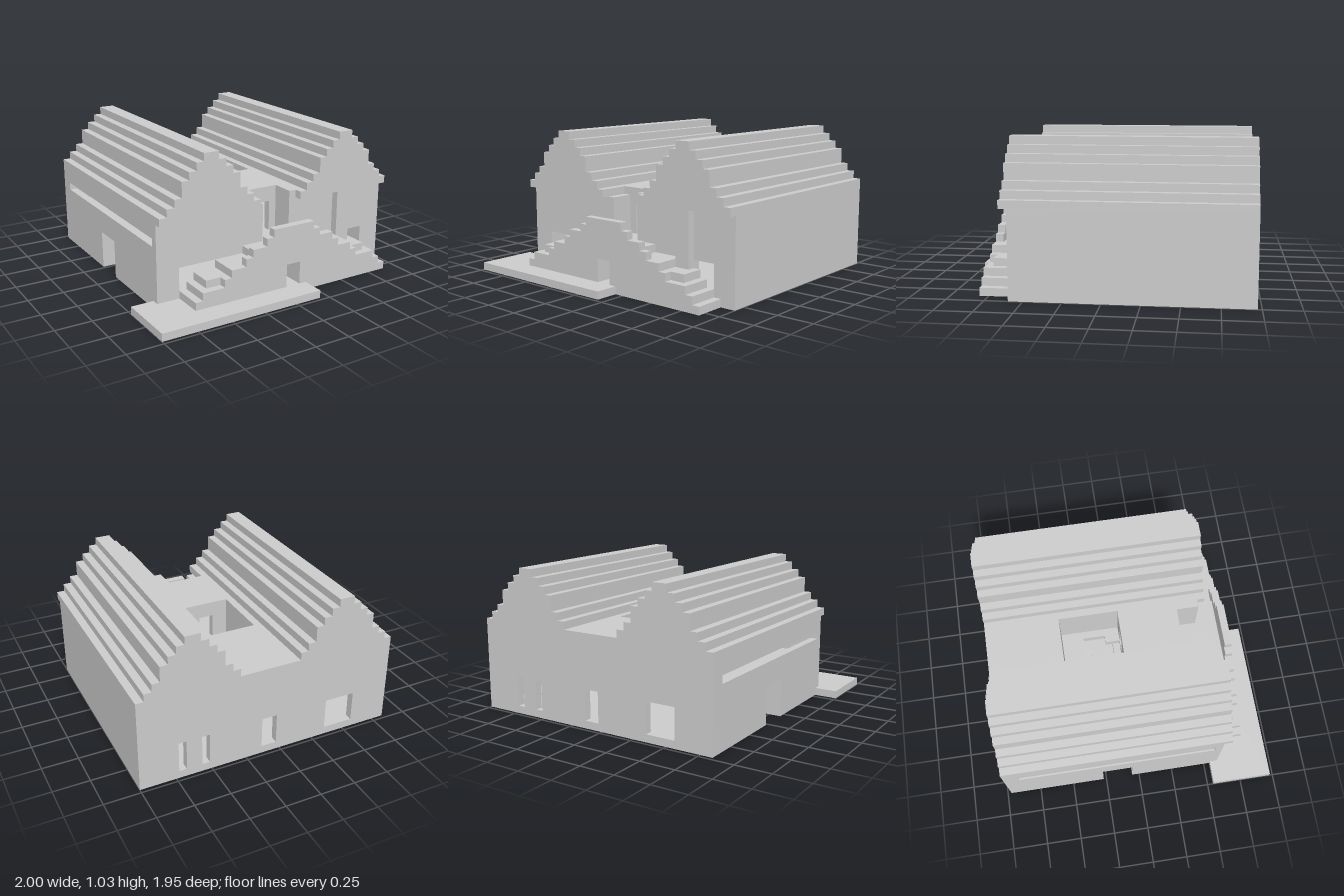
import * as THREE from 'three';

// Everything is laid out on a block grid: x 0..37, y 0..19, z 0..36
const U = 2 / 37;
const mat = new THREE.MeshStandardMaterial({ color: 0xcccccc, flatShading: true });

export function createModel() {
  const root = new THREE.Group();
  root.name = 'house';
  const grid = new THREE.Group();
  grid.name = 'blockGrid';
  grid.scale.setScalar(U);
  grid.position.set(-1, 0, -18 * U);
  root.add(grid);

  function add(name, geo) {
    const mesh = new THREE.Mesh(geo, mat);
    mesh.name = name;
    grid.add(mesh);
    return mesh;
  }
  function block(name, x0, x1, y0, y1, z0, z1) {
    const geo = new THREE.BoxGeometry(x1 - x0, y1 - y0, z1 - z0);
    geo.translate((x0 + x1) / 2, (y0 + y1) / 2, (z0 + z1) / 2);
    return add(name, geo);
  }
  const rect = (a0, a1, b0, b1) => [[a0, b0], [a1, b0], [a1, b1], [a0, b1]];
  const points = list => list.map(([a, b]) => new THREE.Vector2(a, b));
  // Upright panel facing z, with holes
  function panelGeo(outline, holes, depth) {
    const shape = new THREE.Shape(points(outline));
    for (const h of holes) shape.holes.push(new THREE.Path(points(h)));
    return new THREE.ExtrudeGeometry(shape, { depth, bevelEnabled: false });
  }
  function panel(name, outline, holes, z0, z1) {
    return add(name, panelGeo(outline, holes, z1 - z0).translate(0, 0, z0));
  }
  // Upright panel facing x, outline given as (z, y)
  function sidePanel(name, outline, holes, x0, x1) {
    return add(name, panelGeo(outline, holes, x1 - x0).rotateY(-Math.PI / 2).translate(x1, 0, 0));
  }
  // Stepped outline, from (half width, height) pairs listed bottom to top
  function steppedOutline(centre, base, steps) {
    const right = [];
    let y = base;
    for (const [half, top] of steps) {
      right.push([half, y], [half, top]);
      y = top;
    }
    return [
      ...right.map(([h, t]) => [centre + h, t]),
      ...right.reverse().map(([h, t]) => [centre - h, t]),
    ];
  }

  // Ground floor slab, notched at the side entrance
  block('groundFloor', 6, 37, 0, 1, 0, 29);
  block('groundFloorBack', 3, 6, 0, 1, 0, 13);
  block('groundFloorFront', 3, 6, 0, 1, 17, 29);

  // Outer walls
  panel('backWall', rect(3, 37, 0, 11.5), [
    rect(31, 32, 1, 5), rect(28, 29, 1, 5), rect(19, 21, 1, 5), rect(8, 12, 1, 5),
  ], 0, 1);
  panel('frontWallRight', rect(3, 18, 0, 11), [rect(6, 12, 1, 5)], 28, 29);
  panel('frontWallLeft', rect(22, 37, 0, 11), [rect(31, 34, 1, 5)], 28, 29);
  block('leftWall', 36, 37, 0, 11, 0, 29);
  sidePanel('rightWall',
    [[0, 0], [13, 0], [13, 5], [17, 5], [17, 0], [29, 0], [29, 11], [0, 11]],
    [rect(2, 28, 8, 9)], 3, 4);

  // Side entrance recess
  block('sideEntranceBack', 6, 7, 1, 5, 13, 17);
  for (const z of [12, 17]) block('sideEntranceCheek', 4, 7, 0, 5, z, z + 1);

  // Front porch recess and its doorway
  block('porchFloor', 18, 22, 0, 6, 26, 29);
  block('porchCheekRight', 17, 18, 0, 11, 25, 28);
  block('porchCheekLeft', 22, 23, 0, 11, 25, 28);
  panel('porchDoorWall', rect(18, 22, 0, 11), [rect(19, 21, 6, 10)], 25, 26);

  // Upper floor, open around the light well
  block('upperFloorRight', 4, 18, 5, 6, 1, 28);
  block('upperFloorLeft', 22, 36, 5, 6, 1, 28);
  block('upperFloorBack', 18, 22, 5, 6, 1, 13);
  block('upperFloorFront', 18, 22, 5, 6, 18, 25);
  for (const x of [18, 21]) block('upperFloorLanding', x, x + 1, 5, 6, 16, 18);
  block('wellStep', 19, 21, 4, 5, 17, 18);
  block('wellPost', 20, 21, 1, 2, 14, 15);

  // Light well walls
  for (const x of [16, 23]) block('wellSideWall', x, x + 1, 6, 11, 9, 19);
  block('wellBackWall', 17, 23, 6, 11, 9, 10);
  panel('wellFrontWall', rect(17, 23, 6, 11), [rect(19, 21, 6, 10)], 18, 19);

  // Twin stepped roofs and the flat valley between them
  const roofSteps = [[7, 12], [6, 13], [5, 14], [4, 16], [3, 17], [2, 18], [1, 19]];
  for (const [name, centre] of [['roofRight', 10], ['roofLeft', 30]]) {
    panel(name, steppedOutline(centre, 11, roofSteps), [], 0, 30);
  }
  block('valleyRoofBack', 17, 23, 11, 12, 0, 10);
  block('valleyRoofFront', 17, 23, 11, 12, 18, 26);
  block('porchRoofEdge', 22, 23, 11, 12, 26, 29);

  // Pillar under the eave
  block('pillar', 29, 31, 0, 11, 29, 30);

  // Double stair, with a walkway niche through its middle
  const niche = rect(19, 21, 1, 4);
  const stair = steppedOutline(20, 0, [[14, 2], [13, 3], [12, 4], [9, 5], [5, 6]]);
  panel('stair', stair, [niche], 29, 32);
  const rail = steppedOutline(20, 0,
    [[14, 2], [13, 3], [10, 4], [9, 5], [7, 6], [6, 7], [4, 8], [3, 9]]);
  panel('stairParapet', rail, [niche], 32, 33);
  block('stairBottomStep', 34, 35, 0, 1, 29, 33);

  // Paved terrace
  block('terrace', 0, 22, 0, 1, 29, 36);
  block('terraceCorner', 0, 3, 0, 1, 28, 29);

  return root;
}
